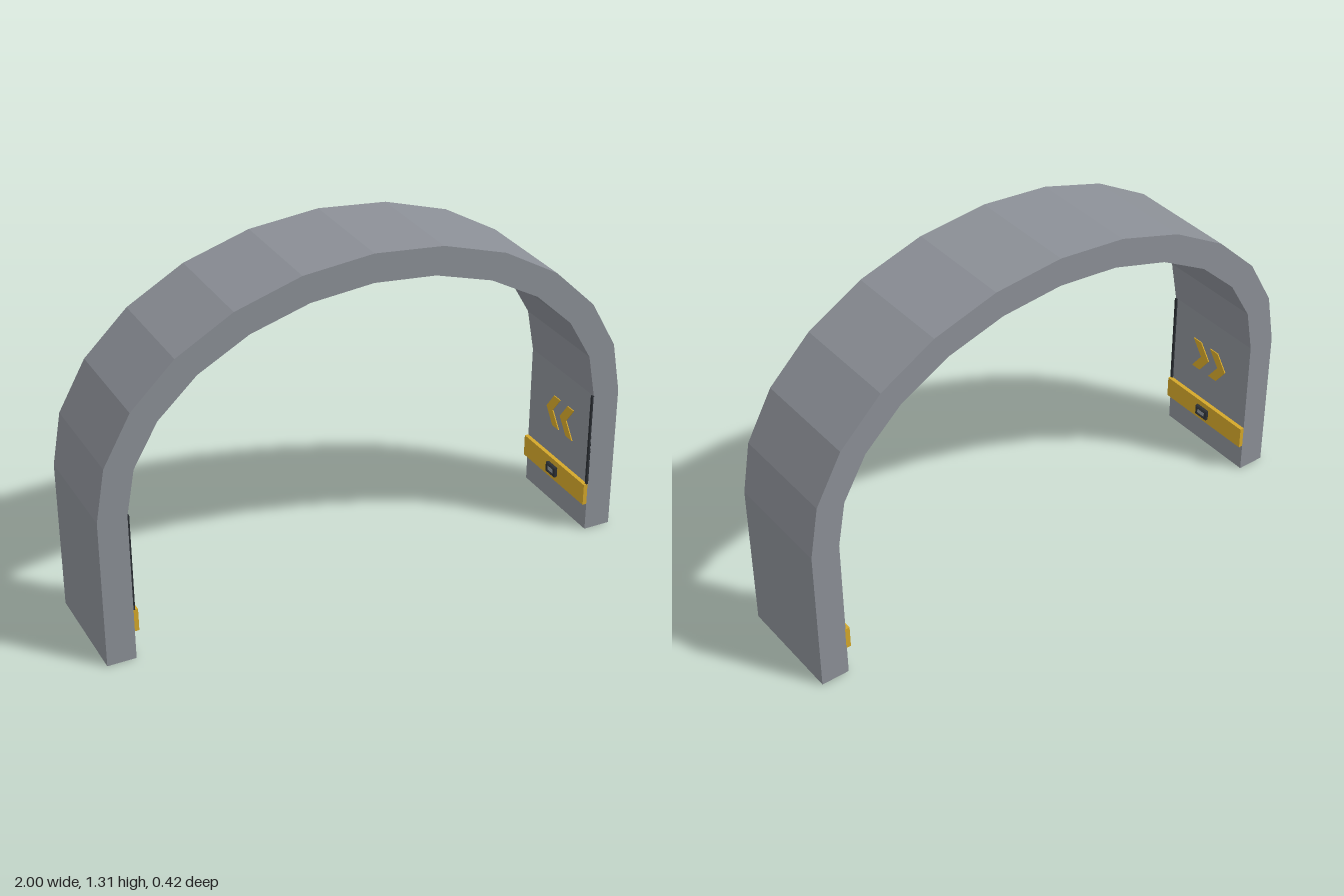
import * as THREE from 'three';

const mat = (name, color) => {
  const m = new THREE.MeshStandardMaterial({ color });
  m.name = name;
  return m;
};

export function createModel() {
  const grey = mat('archGrey', 0x8b8f96);
  const yellow = mat('safetyYellow', 0xd4a72a);
  const dark = mat('darkFrame', 0x2b2f34);
  const glass = mat('lampGlass', 0xf0dfbc);
  const sensorGrey = mat('sensorGrey', 0x8d959c);

  const model = new THREE.Group();
  model.name = 'archway';
  const DEPTH = 0.416, SPRING = 0.565, INNER = 0.895;

  function add(parent, name, geometry, material, x = 0, y = 0, z = 0) {
    const mesh = new THREE.Mesh(geometry, material);
    mesh.name = name;
    mesh.position.set(x, y, z);
    parent.add(mesh);
    return mesh;
  }

  const rectangle = (Type, w, h) => new Type([
    [-w, -h], [w, -h], [w, h], [-w, h],
  ].map(([x, y]) => new THREE.Vector2(x / 2, y / 2)));

  // Chamfered frame around a recessed plate, facing local +z
  function fixture(name, w, h, depth, rim, plateMaterial) {
    const group = new THREE.Group();
    group.name = name;
    const bevel = rim * 0.4;
    const outline = rectangle(THREE.Shape, w - 2 * bevel, h - 2 * bevel);
    outline.holes.push(rectangle(THREE.Path, w - 2 * rim + 2 * bevel, h - 2 * rim + 2 * bevel));
    const frame = new THREE.ExtrudeGeometry(outline, {
      depth: depth - 2 * bevel, bevelEnabled: true, bevelSegments: 1,
      bevelSize: bevel, bevelThickness: bevel,
    });
    add(group, name + 'Frame', frame, dark, 0, 0, bevel);
    add(group, name + 'Plate', new THREE.BoxGeometry(w - 1.6 * rim, h - 1.6 * rim, 0.008),
      plateMaterial, 0, 0, depth - 0.008);
    return group;
  }

  // Faceted arch: straight legs under a half ellipse
  const ellipse = (rx, ry) => Array.from({ length: 13 }, (_, i) => {
    const a = (i / 12) * Math.PI;
    return new THREE.Vector2(rx * Math.cos(a), SPRING + ry * Math.sin(a));
  });
  const archShape = new THREE.Shape([
    new THREE.Vector2(1, 0), ...ellipse(1, 0.745), new THREE.Vector2(-1, 0),
    new THREE.Vector2(-INNER, 0), ...ellipse(INNER, 0.64).reverse(), new THREE.Vector2(INNER, 0),
  ]);
  const archGeometry = new THREE.ExtrudeGeometry(archShape, { depth: DEPTH, bevelEnabled: false });
  add(model, 'arch', archGeometry, grey, 0, 0, -DEPTH / 2);

  // Fittings on the inner face of each leg
  for (const side of [1, -1]) {
    const leg = new THREE.Group();
    leg.name = side > 0 ? 'leftLegFittings' : 'rightLegFittings';
    leg.position.x = side * INNER;
    leg.rotation.y = -side * Math.PI / 2;
    model.add(leg);

    add(leg, 'warningBand', new THREE.BoxGeometry(DEPTH, 0.085, 0.018), yellow, 0, 0.152, 0.007);
    const sensor = fixture('sensor', 0.06, 0.04, 0.02, 0.012, sensorGrey);
    sensor.position.set(0, 0.155, 0.014);
    leg.add(sensor);

    // Dark trim along the front edge
    add(leg, 'edgeTrim', new THREE.BoxGeometry(0.01, 0.37, 0.008), dark,
      side * (DEPTH / 2 - 0.005), 0.38, 0.002);

    // Pair of chevrons pointing to the back
    for (const start of [-0.092, 0]) {
      const points = [[0, 0.063], [0.042, 0.063], [0.088, 0], [0.042, -0.063], [0, -0.063], [0.046, 0]];
      const shape = new THREE.Shape(points.map(([u, v]) => new THREE.Vector2(-side * (u + start), v)));
      const chevron = new THREE.ExtrudeGeometry(shape, { depth: 0.004, bevelEnabled: false });
      add(leg, 'chevron', chevron, yellow, 0, 0.383, 0);
    }
  }

  // Ceiling lamp under the crown
  const lamp = fixture('ceilingLamp', 0.165, 0.09, 0.024, 0.018, glass);
  lamp.rotation.x = Math.PI / 2;
  lamp.position.y = 1.199;
  model.add(lamp);
  add(model, 'lampBase', new THREE.BoxGeometry(0.11, 0.012, 0.06), dark, 0, 1.199, 0);

  return model;
}
